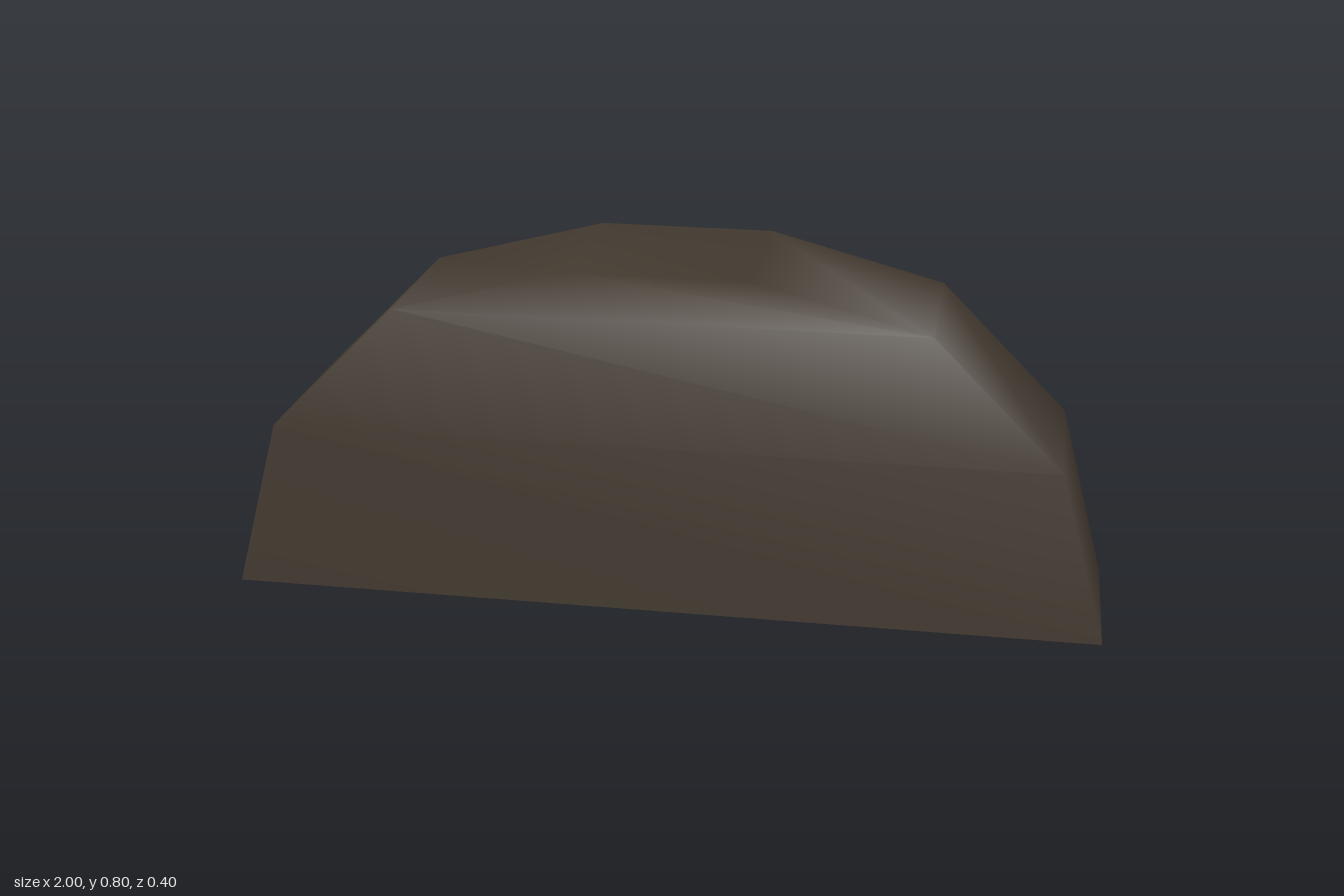
import * as THREE from 'three';

export function createModel() {
  const group = new THREE.Group();
  group.name = 'archedHood';

  const darkBrown = new THREE.MeshStandardMaterial({ color: 0x41382e, side: THREE.DoubleSide });
  darkBrown.name = 'darkBrown';

  // Arch outline from the left foot over the top to the right foot
  const half = [[1, 0], [0.893, 0.4], [0.6, 0.695], [0.2, 0.8]];
  const arch = [...half, ...half.slice().reverse().map(([x, y]) => [-x, y])];
  const n = arch.length;
  const depth = 0.2;

  // Front ring of points, then back ring
  const positions = [depth, -depth].flatMap((z) => arch.flatMap(([x, y]) => [x, y, z]));
  const indices = [];
  const quad = (a, b, c, d) => indices.push(a, b, c, a, c, d);

  // Front panel, in bands between mirrored outline points
  for (let i = 0; i < n / 2 - 1; i++) quad(i, i + 1, n - 2 - i, n - 1 - i);
  // Rim running back from the panel; the back and underside stay open
  for (let i = 0; i < n - 1; i++) quad(i, n + i, n + i + 1, i + 1);

  // Panel and rim share their edge so the shading rolls softly over it
  const geometry = new THREE.BufferGeometry();
  geometry.setAttribute('position', new THREE.Float32BufferAttribute(positions, 3));
  geometry.setIndex(indices);
  geometry.computeVertexNormals();

  const shell = new THREE.Mesh(geometry, darkBrown);
  shell.name = 'hoodShell';
  group.add(shell);
  return group;
}
